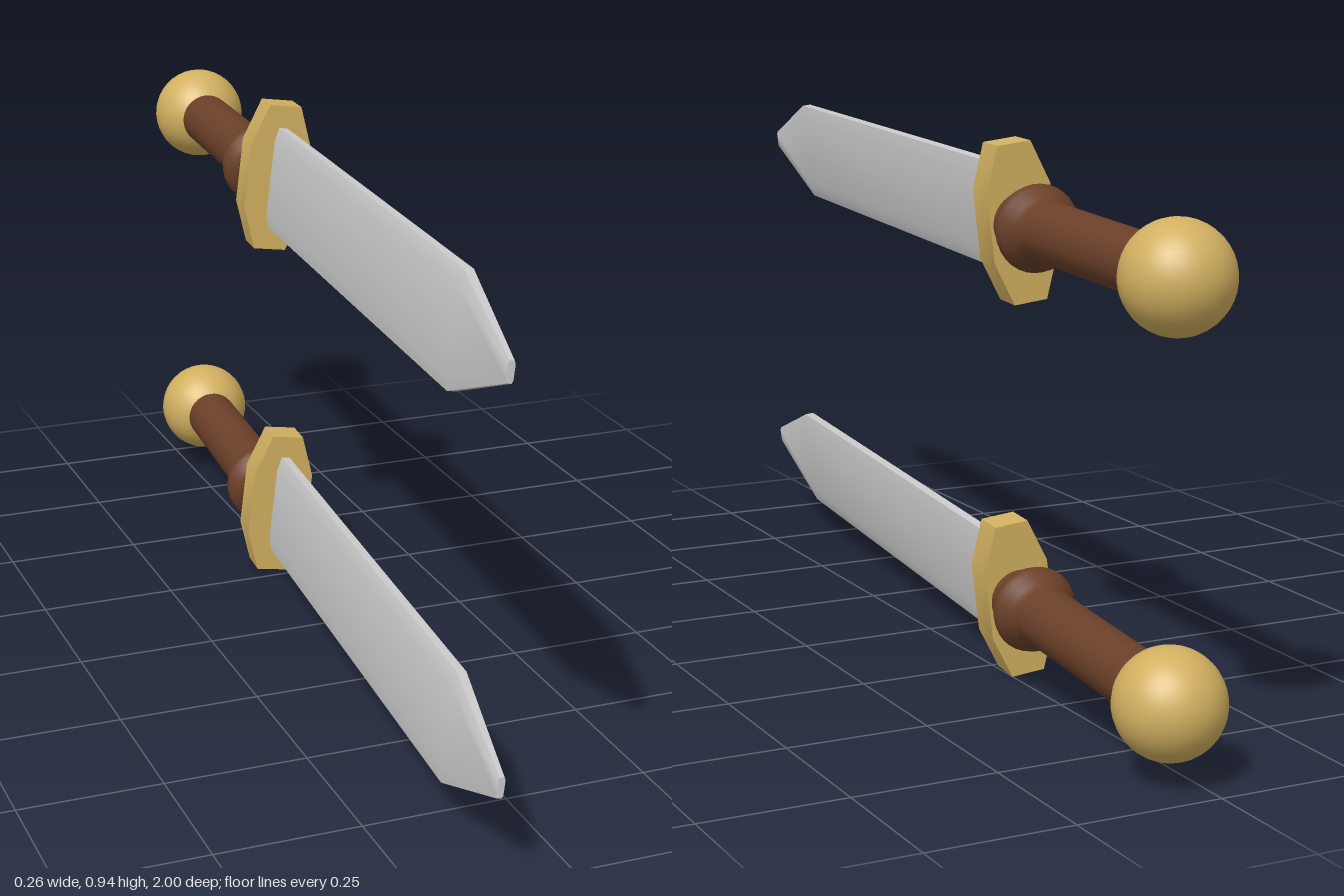
import * as THREE from 'three';
import { toCreasedNormals } from 'three/addons/utils/BufferGeometryUtils.js';

const steel = new THREE.MeshStandardMaterial({ color: 0xcccccc });
const brass = new THREE.MeshStandardMaterial({ color: 0xd2b060 });
const leather = new THREE.MeshStandardMaterial({ color: 0x6b4029 });

function part(name, geometry, material) {
  const mesh = new THREE.Mesh(geometry, material);
  mesh.name = name;
  return mesh;
}

// Blade: eight-sided cross-sections lofted along z, closed at both ends
function bladeGeometry() {
  const sections = [ // z, half height, half thickness, half edge thickness
    [0, 0.095, 0.014, 0.008],
    [1.085, 0.095, 0.014, 0.008],
    [1.303, 0.017, 0.006, 0.004],
  ];
  const positions = [], index = [];
  for (const [z, h, t, e] of sections) {
    const s = h * 0.72;
    const ring = [[t, -s], [t, s], [e, h], [-e, h], [-t, s], [-t, -s], [-e, -h], [e, -h]];
    for (const [x, y] of ring) positions.push(x, y, z);
  }
  for (let i = 0; i < sections.length - 1; i++) {
    for (let j = 0; j < 8; j++) {
      const a = i * 8 + j, b = i * 8 + (j + 1) % 8;
      index.push(a, b, b + 8, a, b + 8, a + 8);
    }
  }
  const end = (sections.length - 1) * 8;
  for (let j = 1; j < 7; j++) {
    index.push(0, j + 1, j, end, end + j, end + j + 1);
  }
  const g = new THREE.BufferGeometry();
  g.setAttribute('position', new THREE.Float32BufferAttribute(positions, 3));
  g.setIndex(index);
  return toCreasedNormals(g, 0.6);
}

// Guard: tall octagonal plate
function guardGeometry() {
  const outline = [[0.03, -0.137], [0.058, -0.06], [0.058, 0.06], [0.03, 0.137],
    [-0.03, 0.137], [-0.058, 0.06], [-0.058, -0.06], [-0.03, -0.137]];
  const shape = new THREE.Shape(outline.map(([x, y]) => new THREE.Vector2(x, y)));
  const g = new THREE.ExtrudeGeometry(shape, { depth: 0.064, bevelEnabled: false });
  g.translate(0, 0, -0.032);
  return toCreasedNormals(g, 0.5);
}

// Grip: turned handle with a rounded collar near the guard
function gripGeometry() {
  const profile = [[0.05, -0.6], [0.051, -0.3], [0.052, -0.145], [0.059, -0.128],
    [0.071, -0.109], [0.075, -0.095], [0.071, -0.082], [0.059, -0.068], [0.053, -0.058], [0.053, -0.02]];
  const g = new THREE.LatheGeometry(profile.map(([r, y]) => new THREE.Vector2(r, y)), 32);
  return g.rotateX(Math.PI / 2);
}

function createDagger() {
  const dagger = new THREE.Group();
  const pommel = part('pommel', new THREE.SphereGeometry(0.09, 32, 20), brass);
  pommel.position.z = -0.612;
  dagger.add(
    part('blade', bladeGeometry(), steel),
    part('guard', guardGeometry(), brass),
    part('grip', gripGeometry(), leather),
    pommel,
  );
  // Slight yaw, pitch and roll
  dagger.rotation.set(-0.02, -0.087, -0.13, 'YXZ');
  return dagger;
}

export function createModel() {
  const model = new THREE.Group();
  model.name = 'daggerPair';
  ['lowerDagger', 'upperDagger'].forEach((name, i) => {
    const dagger = createDagger();
    dagger.name = name;
    dagger.position.set(-0.014, 0.142 + i * 0.655, -0.3);
    model.add(dagger);
  });
  return model;
}
